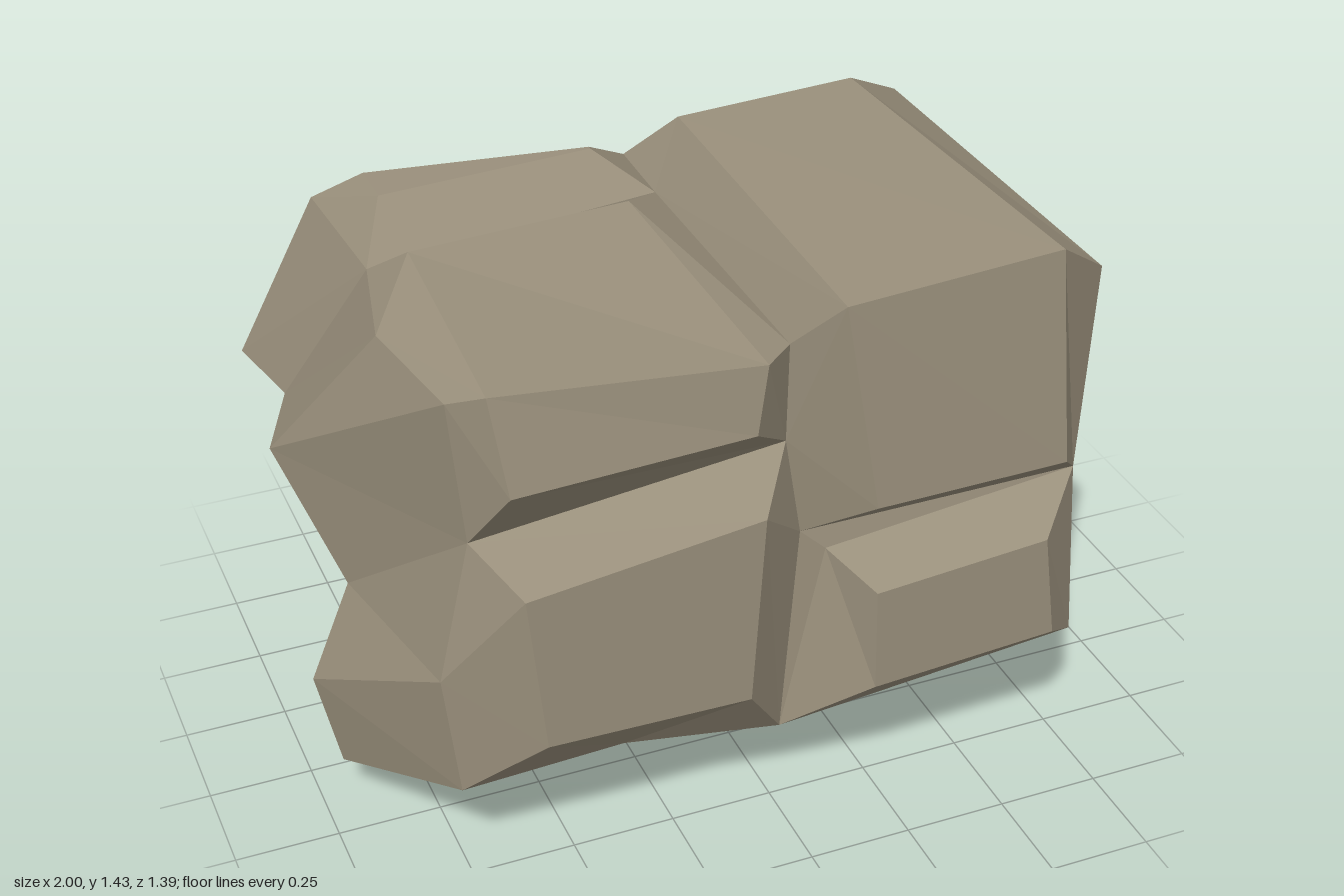
import * as THREE from 'three';

const stoneMat = new THREE.MeshStandardMaterial({ color: 0x9a907c, flatShading: true, side: THREE.DoubleSide });
stoneMat.name = 'weathered stone';

// Fan of triangles over a polygon, skipping collapsed ones
function fan(out, ...p) {
  for (let i = 1; i < p.length - 1; i++) {
    const t = [p[0], p[i], p[i + 1]];
    if (t[0] !== t[1] && t[1] !== t[2] && t[0] !== t[2]) out.push(...t.flat());
  }
}

// Loft between two lines of equal length
function strip(out, a, b) {
  for (let i = 0; i < a.length - 1; i++) fan(out, a[i], a[i + 1], b[i + 1], b[i]);
}

function mesh(name, out) {
  const g = new THREE.BufferGeometry();
  g.setAttribute('position', new THREE.Float32BufferAttribute(out, 3));
  g.computeVertexNormals();
  const m = new THREE.Mesh(g, stoneMat);
  m.name = name;
  return m;
}

// Bevelled stone: four lines from left to right, each running from back/top to front/bottom.
// startMid and endMid are optional extra seam points at either end.
function stone(name, lines, startMid, endMid) {
  const out = [];
  for (let i = 0; i < 3; i++) strip(out, lines[i], lines[i + 1]);
  const start = lines.map(l => l[0]);
  const end = lines.map(l => l[l.length - 1]).reverse();
  if (startMid) start.unshift(startMid);
  if (endMid) end.unshift(endMid);
  fan(out, ...start);
  fan(out, ...end);
  return mesh(name, out);
}

export function createModel() {
  const group = new THREE.Group();
  group.name = 'rockOutcrop';

  // Seams shared by neighbouring stones: left, centre, right and back
  const leftTop = [-0.765, 1.3, 0.54], leftMid = [-0.735, 0.955, 0.55];
  const leftBulge = [-0.81, 0.6, 0.54], leftLow = [-0.775, 0.285, 0.54];
  const leftShoulder = [-0.81, 1.29, 0.2], leftCleft = [-0.735, 1.27, -0.13];
  const midTop = [0, 1.285, 0.56], midUpper = [0, 1.035, 0.55];
  const midLedge = [0.04, 0.785, 0.55], midNotch = [0.1, 0.73, 0.56], midLow = [0, 0.245, 0.55];
  const midCleft = [0, 1.28, -0.22];
  const rightTop = [0.77, 1.305, 0.54], rightMid = [0.74, 0.785, 0.545], rightLow = [0.77, 0.31, 0.545];
  const backLeft = [-0.77, 1.3, -0.465], backMid = [-0.385, 1.3, -0.5];
  const backCentre = [0, 1.285, -0.43], backRight = [0.765, 1.295, -0.5];
  const lowMid = [-0.39, 0.31, 0.55];

  // Tall stone, upper right
  const tallBL = [0.095, 1.42, -0.31], tallBR = [0.56, 1.43, -0.335];
  const tallL = [0.08, 1.415, 0.67], tallR = [0.605, 1.435, 0.65];
  group.add(stone('tallStone', [
    [backCentre, midCleft, midTop, midUpper, midLedge],
    [tallBL, tallBL, tallL, tallL, [0.16, 0.905, 0.695]],
    [tallBR, tallBR, tallR, tallR, [0.635, 0.905, 0.685]],
    [backRight, backRight, rightTop, rightTop, rightMid],
  ]));

  // Upper stone on the other side
  const upBL = [-0.67, 1.36, -0.01], upBR = [-0.13, 1.36, -0.055];
  group.add(stone('upperStone', [
    [leftCleft, leftShoulder, leftTop, leftMid],
    [upBL, upBL, [-0.7, 1.345, 0.62], [-0.67, 1.115, 0.66]],
    [upBR, upBR, [-0.09, 1.305, 0.655], [-0.12, 1.145, 0.67]],
    [midCleft, midCleft, midTop, midUpper],
  ]));

  // Narrow stone behind it
  group.add(stone('rearStone', [
    [backLeft, leftCleft],
    [[-0.665, 1.385, -0.375], [-0.665, 1.385, -0.25]],
    [[-0.13, 1.38, -0.315], [-0.13, 1.38, -0.305]],
    [backCentre, midCleft],
  ], backMid));

  // Broad lower stone
  const broadL = [-0.65, 0.855, 0.67], broadR = [-0.095, 0.925, 0.67];
  group.add(stone('broadLowerStone', [
    [leftMid, leftBulge, leftLow],
    [broadL, broadL, [-0.61, 0.455, 0.67]],
    [broadR, broadR, [-0.125, 0.445, 0.67]],
    [midUpper, midLedge, midLow],
  ], null, lowMid));

  // Small lower stone and the ledge above it
  group.add(stone('smallLowerStone', [
    [midNotch, midLow],
    [[0.18, 0.655, 0.672], [0.185, 0.39, 0.672]],
    [[0.61, 0.69, 0.672], [0.645, 0.42, 0.672]],
    [rightMid, rightLow],
  ]));
  const ledge = [];
  fan(ledge, midLedge, midNotch, rightMid);
  fan(ledge, midLedge, midLow, midNotch);
  group.add(mesh('ledge', ledge));

  // Skirts flaring from the stones to the open rim
  const rimBL = [-0.95, 0.87, -0.565], rimBR = [1, 0.87, -0.585];
  const rimR = [0.91, 0.75, -0.005], rimRLow = [1, 0.15, 0.145];
  const rimLLow = [-0.95, 0.13, 0.145], rimL = [-1, 0.87, -0.105];
  const skirts = {
    backSkirt: [
      [backLeft, backMid, backCentre, backRight, backRight],
      [rimBL, [-0.465, 0.87, -0.695], [0.02, 0.87, -0.54], [0.515, 0.87, -0.67], rimBR]],
    leftSideSkirt: [
      [backRight, rightTop, rightMid, rightMid, rightLow],
      [rimBR, rimR, rimR, [0.96, 0.5, 0.125], rimRLow]],
    bottomSkirt: [
      [rightLow, midLow, lowMid, leftLow],
      [rimRLow, [0.02, 0, 0.145], [-0.47, 0.15, 0.145], rimLLow]],
    rightSideSkirt: [
      [leftLow, leftBulge, leftMid, leftTop, leftShoulder, leftCleft, backLeft],
      [rimLLow, [-1, 0.37, 0.125], [-0.9, 0.62, 0.13], rimL, rimL, [-0.905, 0.87, -0.33], rimBL]],
  };
  for (const [name, [inner, rim]] of Object.entries(skirts)) {
    const out = [];
    strip(out, inner, rim);
    group.add(mesh(name, out));
  }
  return group;
}
